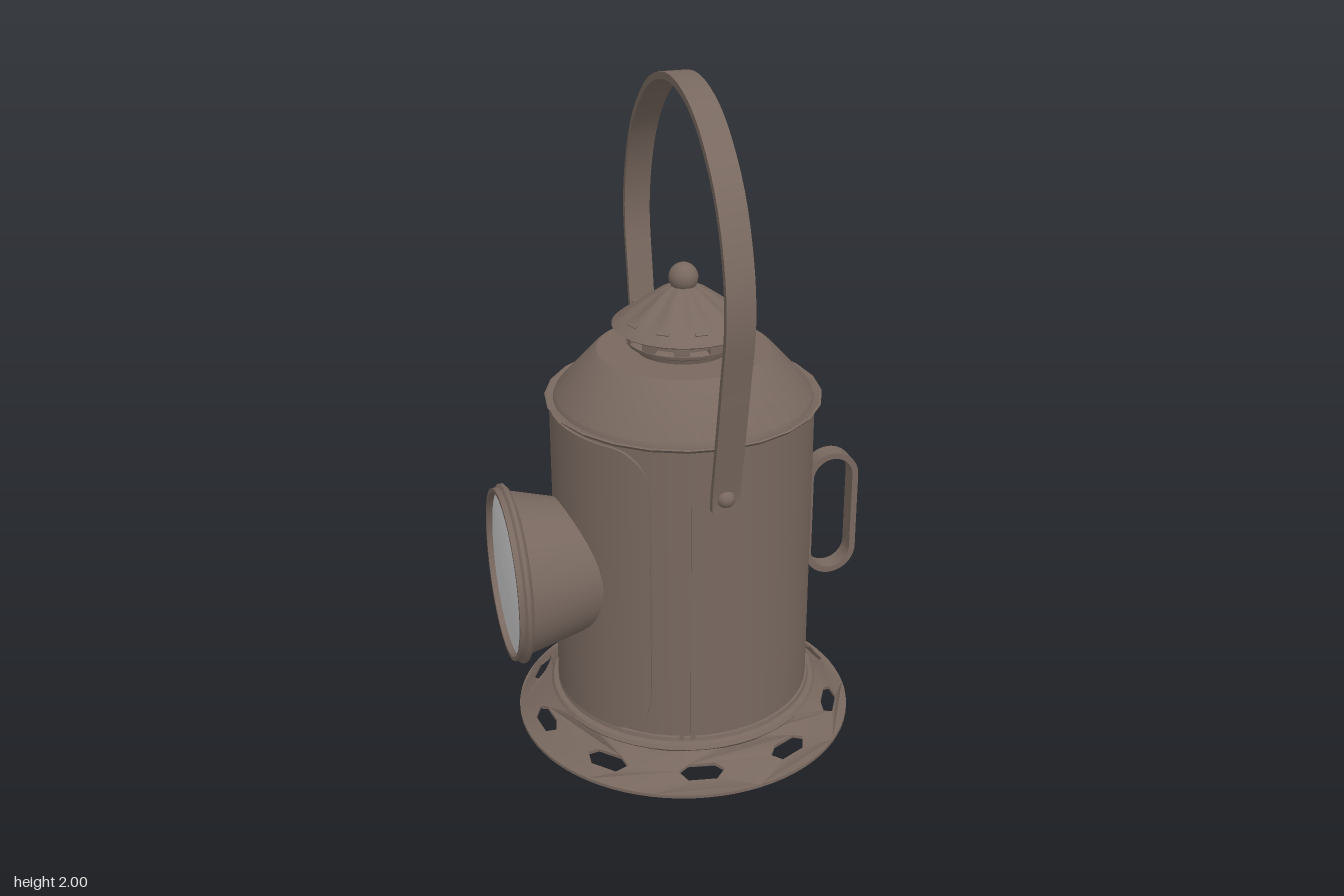
import * as THREE from 'three';
import { toCreasedNormals } from 'three/addons/utils/BufferGeometryUtils.js';

const metal = new THREE.MeshStandardMaterial({ color: 0x78685f, side: THREE.DoubleSide });
const grey = new THREE.MeshStandardMaterial({ color: 0xcccccc });
const V2 = (x, y) => new THREE.Vector2(x, y);
const rad = THREE.MathUtils.degToRad;

function add(parent, name, geo, mat = metal) {
  const mesh = new THREE.Mesh(geo, mat);
  mesh.name = name;
  parent.add(mesh);
  return mesh;
}

const lathe = (pts, sides) =>
  toCreasedNormals(new THREE.LatheGeometry(pts.map(p => V2(...p)), sides), 0.45);

// Box wrapped round the vertical axis, with optional rounded corners
function bentPanel(angle, width, y0, y1, r0, r1, corner = 0, segs = 48) {
  const geo = new THREE.BoxGeometry(1, 1, 1, segs, 1, 1);
  const p = geo.attributes.position;
  const mid = (y0 + y1) / 2, half = (y1 - y0) / 2;
  for (let i = 0; i < p.count; i++) {
    const u = p.getX(i), a = angle - (u * width) / r1;
    const edge = (0.5 - Math.abs(u)) * width;
    const d = Math.max(0, corner - edge);
    const inset = corner - Math.sqrt(Math.max(0, corner * corner - d * d));
    const r = p.getZ(i) > 0 ? r1 : r0;
    p.setXYZ(i, Math.cos(a) * r, mid + Math.sign(p.getY(i)) * (half - inset), Math.sin(a) * r);
  }
  return toCreasedNormals(geo, 0.5);
}

// Domed rivet facing along a direction
function rivet(parent, pos, size) {
  const m = add(parent, 'rivet', new THREE.SphereGeometry(size, 14, 10));
  m.position.set(...pos);
  return m;
}

// Flared foot: flat ring with slots, dropped to a cone
function footGeometry() {
  const shape = new THREE.Shape().absarc(0, 0, 0.52, 0, Math.PI * 2);
  shape.holes.push(new THREE.Path().absarc(0, 0, 0.405, 0, Math.PI * 2, true));
  const slot = [[-8.5, 0.463], [-5, 0.446], [5, 0.446], [8.5, 0.463], [5, 0.484], [-5, 0.484]];
  for (let k = 0; k < 10; k++) {
    const pts = slot.map(([a, r]) => {
      const t = rad(a + 8 + 36 * k);
      return V2(Math.cos(t) * r, Math.sin(t) * r);
    });
    shape.holes.push(new THREE.Path(pts));
  }
  const geo = new THREE.ExtrudeGeometry(shape, { depth: 0.01, bevelEnabled: false, curveSegments: 40 });
  geo.rotateX(-Math.PI / 2);
  const p = geo.attributes.position;
  for (let i = 0; i < p.count; i++) {
    const r = Math.hypot(p.getX(i), p.getZ(i));
    p.setY(i, p.getY(i) + (0.52 - r) * 0.75);
  }
  return toCreasedNormals(geo, 0.5);
}

// Carrying bail: flat strip following a curve
function bailGeometry() {
  const half = [[0.397, 0.875], [0.4, 0.93], [0.43, 1.075], [0.47, 1.28], [0.5, 1.46],
    [0.475, 1.62], [0.395, 1.78], [0.265, 1.905], [0.14, 1.967]];
  const pts = [...half, [0, 1.99], ...half.map(([z, y]) => [-z, y]).reverse()];
  const curve = new THREE.SplineCurve(pts.map(p => V2(...p)));
  const outer = [], inner = [];
  for (let i = 0; i <= 72; i++) {
    const c = curve.getPoint(i / 72), t = curve.getTangent(i / 72);
    outer.push(V2(c.x + t.y * 0.01, c.y - t.x * 0.01));
    inner.push(V2(c.x - t.y * 0.01, c.y + t.x * 0.01));
  }
  const shape = new THREE.Shape([...outer, ...inner.reverse()]);
  const geo = new THREE.ExtrudeGeometry(shape, { depth: 0.08, bevelEnabled: false });
  geo.translate(0, 0, -0.04).rotateY(Math.PI / 2);
  return toCreasedNormals(geo, 0.5);
}

// Stadium outline for the side grip
function stadium(target, w, h) {
  const r = w / 2, s = h / 2 - r;
  target.absarc(0, s, r, 0, Math.PI);
  target.absarc(0, -s, r, Math.PI, Math.PI * 2);
  target.closePath();
  return target;
}

// Fluted conical cap
function capGeometry() {
  const geo = new THREE.LatheGeometry([
    [0.1, 1.285], [0.2, 1.28], [0.207, 1.285], [0.195, 1.295], [0.155, 1.323],
    [0.11, 1.355], [0.07, 1.383], [0.04, 1.398], [0, 1.4]].map(p => V2(...p)), 80);
  const p = geo.attributes.position;
  for (let i = 0; i < p.count; i++) {
    const r = Math.hypot(p.getX(i), p.getZ(i)), a = Math.atan2(p.getZ(i), p.getX(i));
    const fade = Math.max(0, 1 - Math.abs(r - 0.11) / 0.085);
    if (p.getY(i) > 1.29) p.setY(i, p.getY(i) - 0.012 * fade * (0.5 + 0.5 * Math.cos(10 * a)));
  }
  return toCreasedNormals(geo, 0.6);
}

export function createModel() {
  const model = new THREE.Group();
  model.name = 'lantern';
  const body = new THREE.Group();
  body.name = 'body';
  body.position.x = 0.005;
  model.add(body);

  // Foot and drum
  add(body, 'foot', footGeometry());
  add(body, 'footBead', lathe([[0.385, 0.085], [0.41, 0.085], [0.417, 0.095], [0.41, 0.106],
    [0.395, 0.11], [0.392, 0.122], [0.38, 0.124]], 48));
  add(body, 'drum', lathe([[0, 0.088], [0.385, 0.088], [0.385, 1.06]], 48));
  for (const deg of [105, 225, -15]) {
    for (const side of [-1, 1]) {
      add(body, 'seamRib', bentPanel(rad(deg + side * 2.4), 0.014, 0.11, 1.055, 0.375, 0.393, 0, 2));
    }
  }

  // Rolled edge, sloping shoulder and flat top
  add(body, 'shoulderFlange', lathe([[0.37, 1.052], [0.398, 1.056], [0.407, 1.066],
    [0.4, 1.068], [0.375, 1.06]], 24));
  add(body, 'shoulder', lathe([[0.383, 1.058], [0.378, 1.075], [0.262, 1.203], [0.252, 1.21],
    [0.14, 1.21]], 40));

  // Chimney collar with slots
  add(body, 'chimneyCollar', lathe([[0.135, 1.205], [0.14, 1.22], [0.165, 1.232], [0.168, 1.242],
    [0.145, 1.248], [0.145, 1.256], [0.165, 1.26], [0.165, 1.275], [0.12, 1.29]], 40));
  for (let k = 0; k < 10; k++) {
    add(body, 'collarTab', bentPanel(rad(36 * k), 0.045, 1.24, 1.264, 0.14, 0.166, 0, 4));
    const vent = new THREE.Group();
    vent.name = 'capVent';
    vent.rotation.y = rad(36 * k + 18);
    const lip = add(vent, 'ventLip', new THREE.BoxGeometry(0.012, 0.006, 0.035));
    lip.position.set(0.172, 1.311, 0);
    lip.rotation.z = -0.6;
    body.add(vent);
  }
  add(body, 'cap', capGeometry());
  add(body, 'finial', new THREE.SphereGeometry(0.043, 24, 16)).position.y = 1.422;

  // Curved door behind the lamp hood
  add(body, 'door', bentPanel(rad(170), 0.68, 0.125, 1.045, 0.375, 0.394, 0.12));

  // Lamp hood with beaded rim and lens
  const hood = new THREE.Group();
  hood.name = 'lampHood';
  hood.position.set(0, 0.575, 0.053);
  hood.rotation.z = Math.PI / 2;
  model.add(hood);
  add(hood, 'hoodCone', lathe([[0.178, 0.27], [0.198, 0.35], [0.243, 0.522], [0.257, 0.526],
    [0.266, 0.534], [0.266, 0.544], [0.257, 0.551], [0.256, 0.566], [0.244, 0.566],
    [0.242, 0.545]], 32));
  add(hood, 'lens', new THREE.LatheGeometry([[0.246, 0.548], [0.2, 0.555], [0.1, 0.561],
    [0, 0.563]].map(p => V2(...p)), 32), grey);

  // Door latch: hook, knob and two pegs
  const hookEnd = new THREE.Vector3(-0.278, 0.57, -0.318);
  const hook = new THREE.LineCurve3(new THREE.Vector3(-0.342, 0.58, -0.21), hookEnd);
  add(model, 'latchHook', new THREE.TubeGeometry(hook, 2, 0.008, 8));
  add(model, 'latchKnob', new THREE.SphereGeometry(0.018, 14, 10), grey).position.copy(hookEnd);
  add(model, 'latchPlate', bentPanel(rad(212), 0.035, 0.5, 0.66, 0.38, 0.4, 0.012, 12));
  for (const y of [0.52, 0.58, 0.64]) rivet(model, [-0.338, y, -0.213], 0.014);

  // Carrying bail and its pivots
  add(body, 'bail', bailGeometry());
  for (const s of [-1, 1]) rivet(body, [0, 0.913, s * 0.402], 0.027);

  // Side grip
  const ring = stadium(new THREE.Shape(), 0.166, 0.415);
  ring.holes.push(stadium(new THREE.Path(), 0.128, 0.377));
  const gripGeo = new THREE.ExtrudeGeometry(ring, { depth: 0.056, bevelEnabled: false, curveSegments: 16 });
  const grip = add(model, 'sideGrip', toCreasedNormals(gripGeo, 0.5));
  grip.position.set(0.478, 0.605, -0.024);
  for (const y of [0.52, 0.685]) rivet(model, [0.408, y, 0.004], 0.014);

  return model;
}
